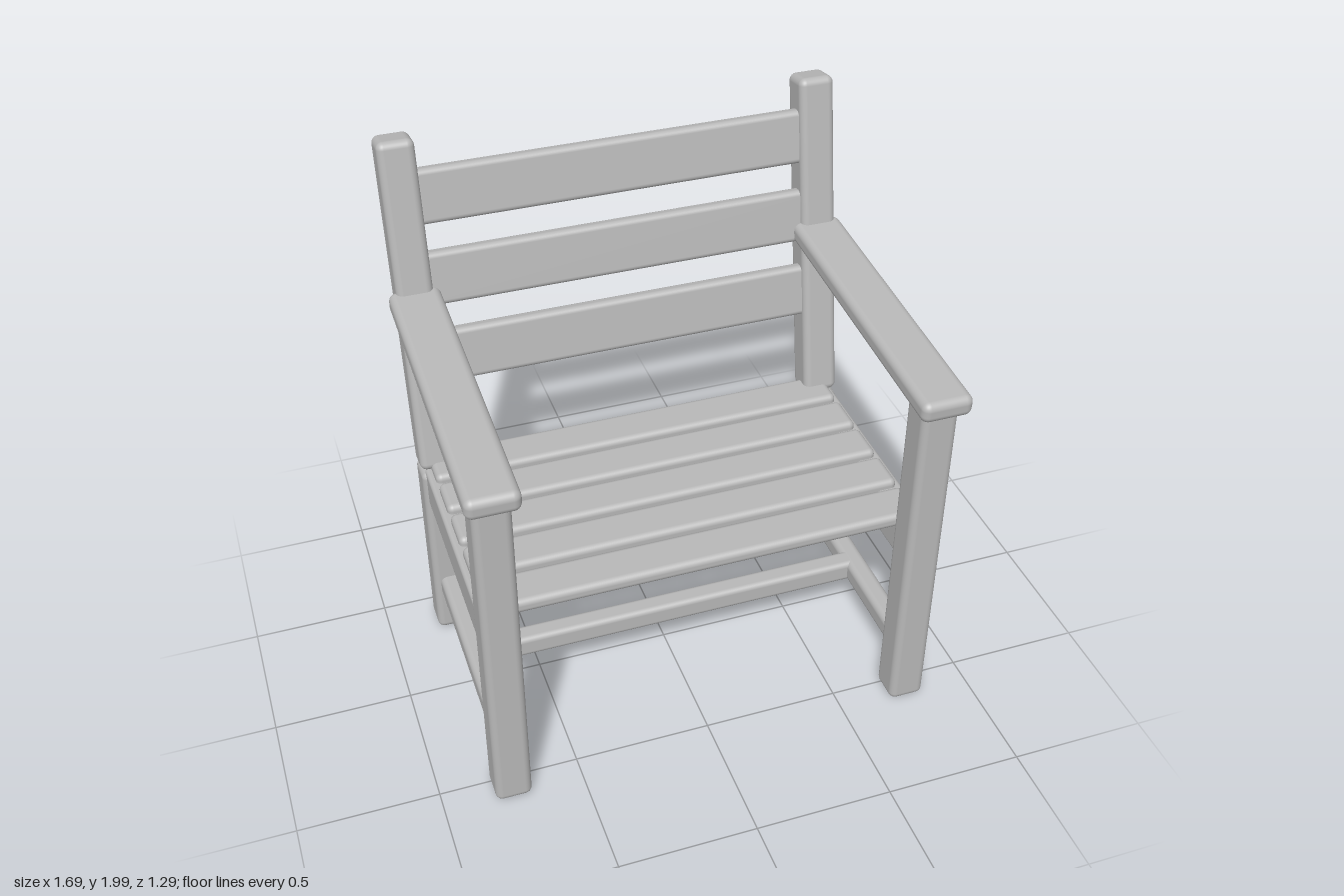
import * as THREE from 'three';
import { RoundedBoxGeometry } from 'three/addons/geometries/RoundedBoxGeometry.js';

export function createModel() {
  const chair = new THREE.Group();
  chair.name = 'gardenArmchair';
  const wood = new THREE.MeshStandardMaterial({ color: 0xb8b8b8 });
  wood.name = 'paleGrey';

  // One softly rounded timber: size, centre, tilt about x
  function timber(name, size, centre, radius, tilt = 0) {
    const mesh = new THREE.Mesh(new RoundedBoxGeometry(...size, 4, radius), wood);
    mesh.name = name;
    mesh.position.set(...centre);
    mesh.rotation.x = tilt;
    chair.add(mesh);
  }

  const lean = 0.17; // backward lean of the backrest

  // Side frames
  for (const [side, s] of [['left', 1], ['right', -1]]) {
    const x = s * 0.753;
    timber(side + 'FrontLeg', [0.13, 1.355, 0.13], [x, 0.682, 0.54], 0.026);
    timber(side + 'BackLeg', [0.13, 0.765, 0.13], [x, 0.387, -0.376], 0.026);
    timber(side + 'BackPost', [0.13, 1.235, 0.125], [x, 1.381, -0.482], 0.026, -lean);
    timber(side + 'Armrest', [0.182, 0.078, 1.13], [x, 1.392, 0.083], 0.028, 0.064);
    timber(side + 'SeatRail', [0.1, 0.15, 0.86], [x, 0.705, 0.08], 0.015);
    timber(side + 'Stretcher', [0.08, 0.088, 0.86], [x, 0.222, 0.08], 0.025);
  }

  // Cross stretcher joining the two side stretchers
  timber('crossStretcher', [1.53, 0.086, 0.08], [0, 0.222, 0.075], 0.02);

  // Seat slats
  for (let i = 0; i < 5; i++) {
    timber('seatSlat', [1.56, 0.055, 0.156], [0, 0.784, 0.412 - i * 0.1815], 0.022);
  }

  // Back slats, parallel to the leaning posts
  for (const y of [1.193, 1.485, 1.78]) {
    const z = -0.482 - Math.tan(lean) * (y - 1.381) + 0.012;
    timber('backSlat', [1.46, 0.197, 0.055], [0, y, z], 0.02, -lean);
  }

  return chair;
}
